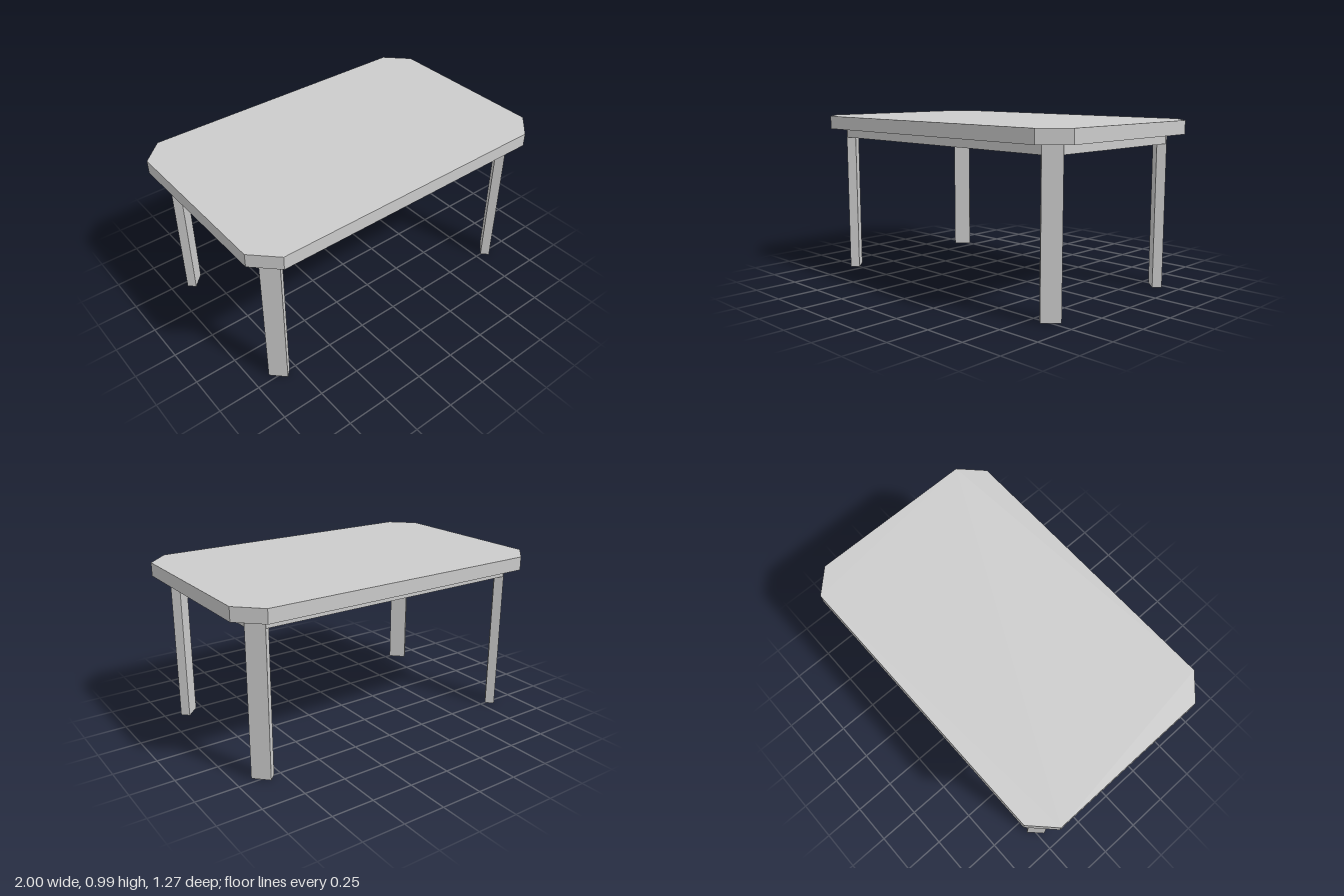
import * as THREE from 'three';

const material = new THREE.MeshStandardMaterial({ color: 0xcccccc, flatShading: true });

function addBox(parent, name, size, position) {
  const mesh = new THREE.Mesh(new THREE.BoxGeometry(...size), material);
  mesh.name = name;
  mesh.position.set(...position);
  parent.add(mesh);
  return mesh;
}

export function createModel() {
  const table = new THREE.Group();
  table.name = 'table';

  const topY = 0.99, underside = 0.91, apronBottom = 0.853;

  // Table top: a slab with clipped corners
  const outline = [
    [-0.865, -0.633], [0.865, -0.633], [1, -0.5], [1, 0.5],
    [0.865, 0.633], [-0.865, 0.633], [-1, 0.5], [-1, -0.5],
  ].map(([x, z]) => new THREE.Vector2(x, z));
  const slab = new THREE.ExtrudeGeometry(new THREE.Shape(outline), {
    depth: topY - underside, bevelEnabled: false,
  });
  slab.rotateX(-Math.PI / 2);
  const top = new THREE.Mesh(slab, material);
  top.name = 'tableTop';
  top.position.y = underside;
  table.add(top);

  // Apron boards under the top, ending at the legs
  const thickness = 0.03, apronHeight = underside - apronBottom;
  const apronY = (underside + apronBottom) / 2;
  for (const s of [1, -1]) {
    addBox(table, s > 0 ? 'frontApron' : 'backApron',
      [1.66, apronHeight, thickness], [0, apronY, s * (0.537 - thickness / 2)]);
    addBox(table, s > 0 ? 'leftApron' : 'rightApron',
      [thickness, apronHeight, 0.92], [s * (0.902 - thickness / 2), apronY, 0]);
  }

  // Legs: flat posts turned to face the clipped corners
  for (const sx of [1, -1]) {
    for (const sz of [1, -1]) {
      const name = (sz > 0 ? 'front' : 'back') + (sx > 0 ? 'Left' : 'Right') + 'Leg';
      const leg = addBox(table, name, [0.11, underside, 0.056],
        [sx * 0.848, underside / 2, sz * 0.481]);
      leg.rotation.y = sx * sz * Math.PI / 4;
    }
  }
  return table;
}
